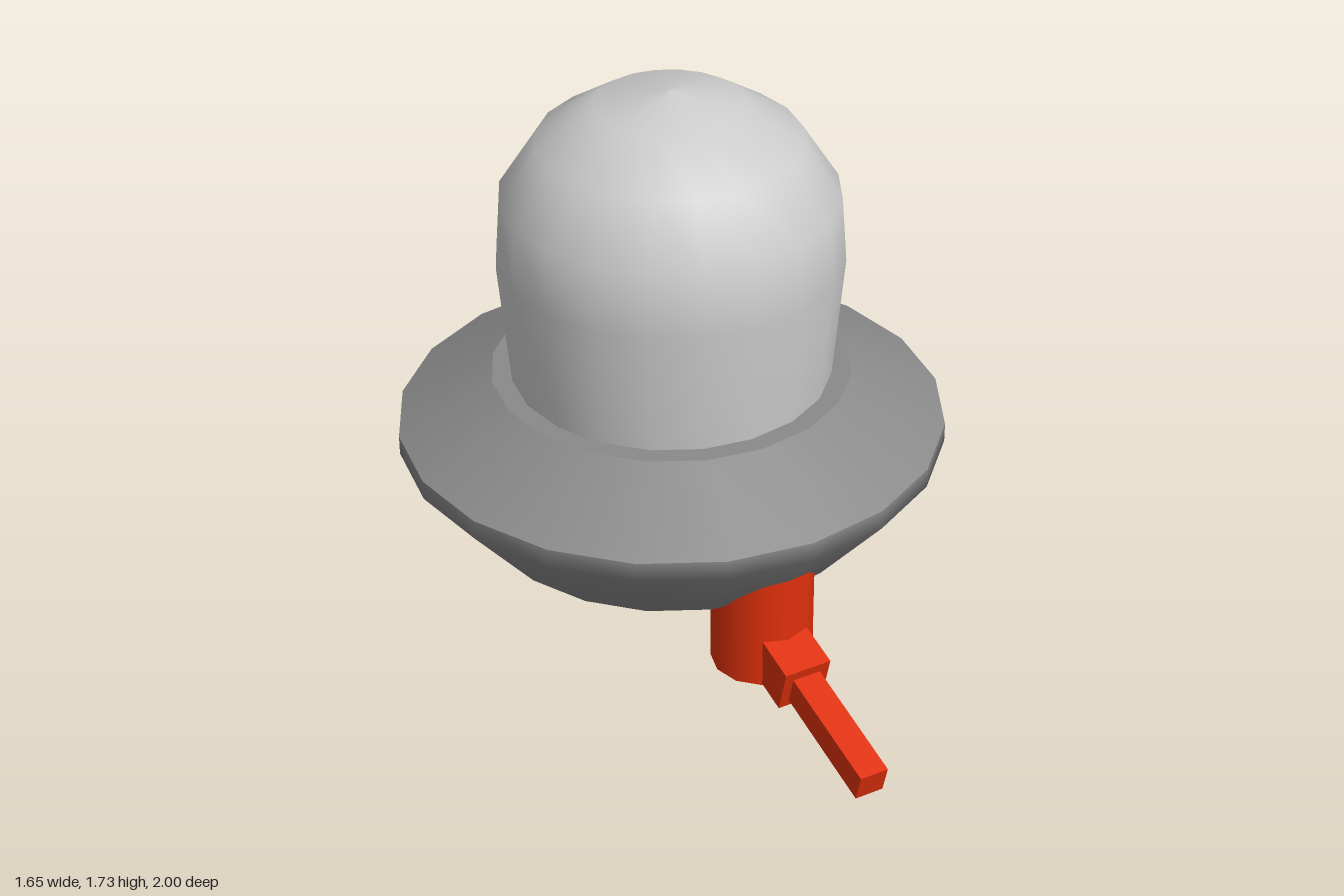
import * as THREE from 'three';

const SIDES = 20;
const AXIS_Z = -0.175; // vertical axis of the round body

export function createModel() {
  const model = new THREE.Group();
  model.name = 'saucerTurret';

  const light = new THREE.MeshStandardMaterial({ color: 0xcccccc });
  const dark = new THREE.MeshStandardMaterial({ color: 0x8a8a8a });
  const red = new THREE.MeshStandardMaterial({ color: 0xe0300c });

  const add = (parent, name, geometry, material, x, y, z) => {
    const mesh = new THREE.Mesh(geometry, material);
    mesh.name = name;
    mesh.position.set(x, y, z);
    parent.add(mesh);
    return mesh;
  };

  // Turned part: profile of [radius, height] from bottom to top
  const turned = (name, profile, material) => {
    const points = profile.map(([r, y]) => new THREE.Vector2(r, y));
    return add(model, name, new THREE.LatheGeometry(points, SIDES), material, 0, 0, AXIS_Z);
  };

  // Round body, split where the edges are sharp
  turned('hullBowl', [[0, 0.14], [0.26, 0.14], [0.34, 0.285], [0.6, 0.345], [0.825, 0.61], [0.825, 0.67]], dark);
  turned('hullDeck', [[0.825, 0.67], [0.54, 0.825]], dark);
  turned('deckRing', [[0.54, 0.825], [0, 0.825]], dark);
  turned('dome', [[0.48, 0.82], [0.515, 1.21], [0.5, 1.41], [0.39, 1.58], [0.22, 1.69], [0, 1.73]], light);

  // Gun hanging under the front of the hull
  const gun = new THREE.Group();
  gun.name = 'gun';
  model.add(gun);
  add(gun, 'gunMount', new THREE.CylinderGeometry(0.152, 0.152, 0.38, 12), red, 0, 0.29, 0.372);

  // Collar and barrel tilt down together
  const barrelGroup = new THREE.Group();
  barrelGroup.name = 'barrelAssembly';
  barrelGroup.position.set(0, 0.145, 0.617);
  barrelGroup.rotation.x = THREE.MathUtils.degToRad(15);
  gun.add(barrelGroup);
  add(barrelGroup, 'collar', new THREE.BoxGeometry(0.15, 0.146, 0.2), red, 0, 0.005, -0.1);
  add(barrelGroup, 'barrel', new THREE.BoxGeometry(0.09, 0.09, 0.436), red, 0, 0, 0.168);

  return model;
}
